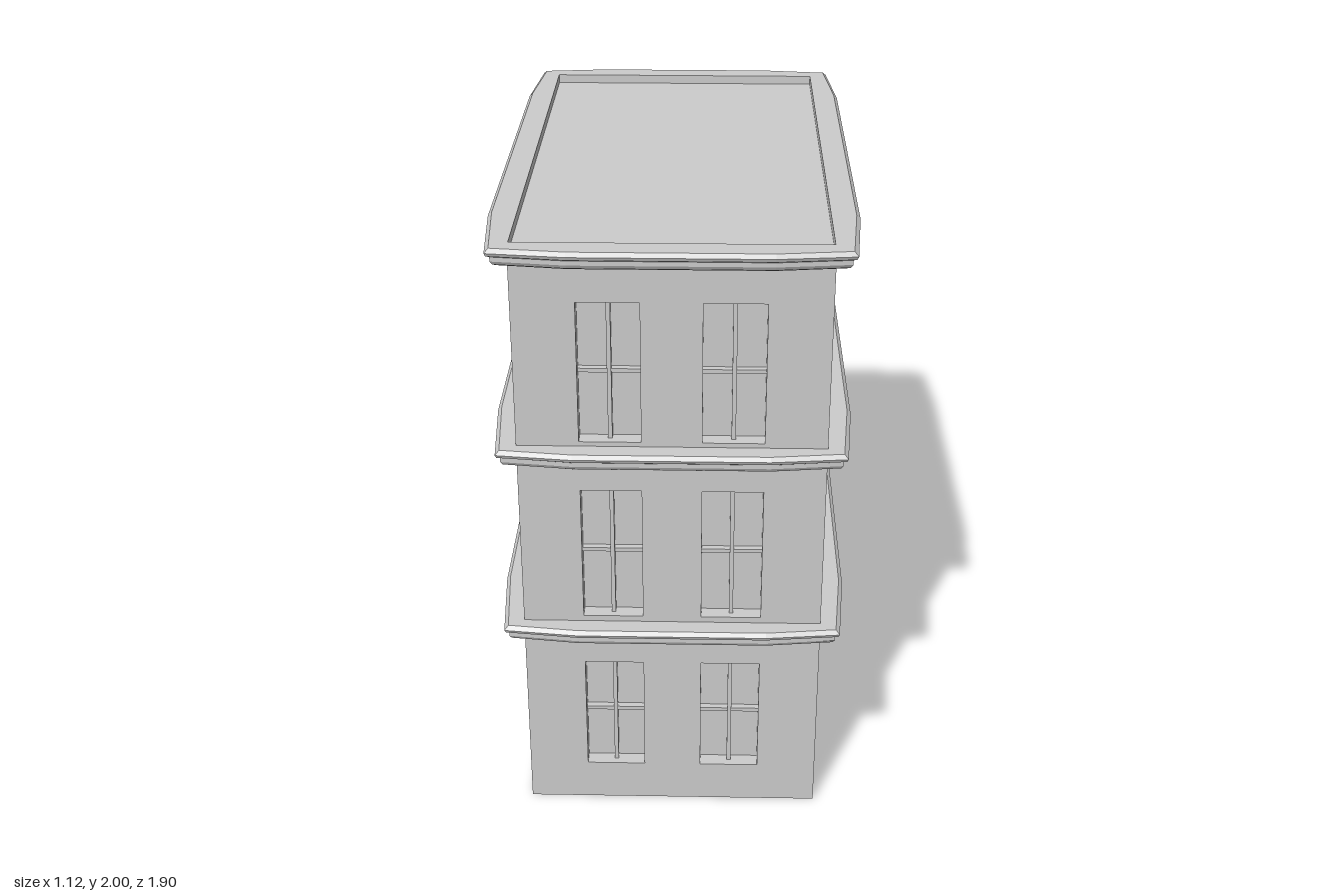
import * as THREE from 'three';

const W = 0.475, D = 0.88, T = 0.05, ROOF = 1.97;
const FLOORS = [[0.14, 0.55, 0.345], [0.73, 1.19, 0.96], [1.36, 1.82, 1.587]]; // sill, head, crossbar
const mat = new THREE.MeshStandardMaterial({ color: 0xcccccc, flatShading: true });

function box(name, w, h, d, x, y, z) {
  const m = new THREE.Mesh(new THREE.BoxGeometry(w, h, d), mat);
  m.name = name;
  m.position.set(x, y, z);
  return m;
}

function rectHole(x0, x1, y0, y1) {
  const p = new THREE.Path();
  p.moveTo(x0, y0).lineTo(x0, y1).lineTo(x1, y1).lineTo(x1, y0).closePath();
  return p;
}

// One facade, facing +z with its inner surface at z = 0, pierced by window reveals
function facade(name, half, columns, winW, door) {
  const g = new THREE.Group();
  g.name = name;
  const s = new THREE.Shape();
  s.moveTo(-half, 0);
  if (door) s.lineTo(-0.125, 0).lineTo(-0.125, 0.52).lineTo(0.125, 0.52).lineTo(0.125, 0);
  s.lineTo(half, 0).lineTo(half, ROOF).lineTo(-half, ROOF).closePath();

  FLOORS.forEach(([y0, y1, yBar], floor) => {
    for (const x of columns) {
      if (door && floor === 0 && x === 0) continue;
      s.holes.push(rectHole(x - winW / 2, x + winW / 2, y0, y1));
      g.add(box('windowMullion', 0.013, y1 - y0, 0.026, x, (y0 + y1) / 2, 0.012));
      g.add(box('windowCrossbar', winW, 0.013, 0.022, x, yBar, 0.01));
    }
  });
  const wall = new THREE.Mesh(new THREE.ExtrudeGeometry(s, { depth: T, bevelEnabled: false }), mat);
  wall.name = 'wall';
  g.add(wall);
  return g;
}

// Bowed cornice: a moulding profile swept around a twelve-sided outline
function cornice(top) {
  const quarter = [[0.56, 0.62, 1, 0], [0.535, 0.925, 1, 1], [0.3, 0.95, 0, 1]];
  const outline = [];
  for (const [sx, sz] of [[1, 1], [-1, 1], [-1, -1], [1, -1]]) {
    const pts = quarter.map(([x, z, mx, mz]) => ({ x, z, mx, mz, sx, sz }));
    outline.push(...(sx * sz > 0 ? pts : pts.reverse()));
  }
  // [inset from outline, height below top]; null inset means the inner rim
  const profile = [[null, 0.06], [0.032, 0.06], [0.02, 0.053], [0.014, 0.042], [0.014, 0.028],
    [0.004, 0.022], [0, 0.012], [0.012, 0], [null, 0]];
  const pos = [], idx = [], n = outline.length, m = profile.length;
  for (const [inset, drop] of profile) {
    for (const p of outline) {
      const x = inset === null ? (p.mx ? 0.472 : p.x) : p.x - inset * p.mx;
      const z = inset === null ? (p.mz ? 0.862 : p.z) : p.z - inset * p.mz;
      pos.push(p.sx * x, top - drop, p.sz * z);
    }
  }
  for (let j = 0; j < m; j++) {
    for (let i = 0; i < n; i++) {
      const a = j * n + i, b = j * n + (i + 1) % n;
      const c = ((j + 1) % m) * n + i, d = ((j + 1) % m) * n + (i + 1) % n;
      idx.push(a, c, b, b, c, d);
    }
  }
  const geo = new THREE.BufferGeometry();
  geo.setAttribute('position', new THREE.Float32BufferAttribute(pos, 3));
  geo.setIndex(idx);
  geo.computeVertexNormals();
  const mesh = new THREE.Mesh(geo, mat);
  mesh.name = 'cornice';
  return mesh;
}

export function createModel() {
  const model = new THREE.Group();
  model.name = 'building';

  // Inner block: carries the window panes, the door leaf and the flat roof
  model.add(box('innerBlock', 2 * (W - T), ROOF, 2 * (D - T), 0, ROOF / 2, 0));

  // Short facades at the front and back, long ones on the sides
  for (const s of [1, -1]) {
    const end = facade(s > 0 ? 'frontFacade' : 'backFacade', W, [-0.188, 0.188], 0.19, false);
    end.position.z = s * (D - T);
    end.rotation.y = s > 0 ? 0 : Math.PI;
    const side = facade(s > 0 ? 'leftFacade' : 'rightFacade', D - T, [-0.502, 0, 0.502], 0.255, s > 0);
    side.position.x = s * (W - T);
    side.rotation.y = s * Math.PI / 2;
    model.add(end, side);
  }

  for (const top of [0.71, 1.345, 2]) model.add(cornice(top));
  return model;
}
